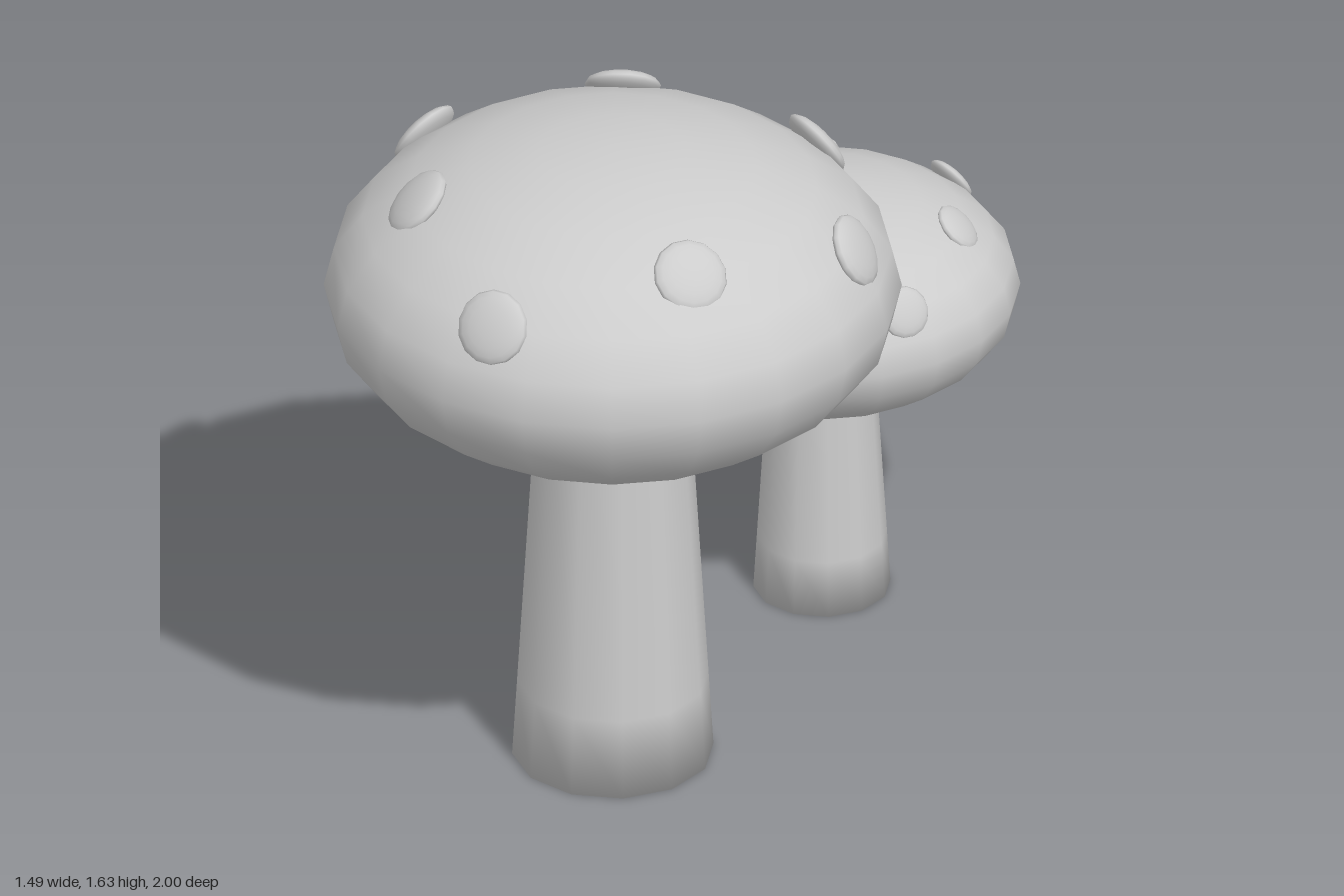
import * as THREE from 'three';

const STEP = (Math.PI * 2) / 7;

function makeMushroom(name, o, mat) {
  const g = new THREE.Group();
  g.name = name;
  g.position.set(o.x, 0, o.z);

  // Tapered stem with a softly shaded foot, running up into the cap
  const slope = (o.footR - o.neckR) / o.neckY;
  const at = (y) => new THREE.Vector2(o.footR - slope * y, y);
  const stem = new THREE.Mesh(
    new THREE.LatheGeometry([new THREE.Vector2(0, 0), at(0), at(o.footH), at(o.neckY + 0.08)], 12), mat);
  stem.name = 'stem';
  g.add(stem);

  // Flattened round cap
  const capGeo = new THREE.SphereGeometry(1, 20, 12);
  capGeo.scale(o.capR, o.capH, o.capR);
  const cap = new THREE.Mesh(capGeo, mat);
  cap.name = 'cap';
  cap.position.y = o.capY;
  g.add(cap);

  // Ring of seven lens-shaped spots at alternating heights
  const spotGeo = new THREE.SphereGeometry(1, 14, 10);
  spotGeo.scale(o.spotR, o.spotR * 0.3, o.spotR);
  const up = new THREE.Vector3(0, 1, 0);
  o.rings.forEach((r, i) => {
    const a = o.start + i * STEP;
    const k = r / o.capR;
    const dir = new THREE.Vector3(Math.cos(a) * k, Math.sqrt(1 - k * k), Math.sin(a) * k);
    const spot = new THREE.Mesh(spotGeo, mat);
    spot.name = 'spot';
    spot.position.set(dir.x * o.capR, o.capY + dir.y * o.capH, dir.z * o.capR);
    spot.quaternion.setFromUnitVectors(up, dir);
    g.add(spot);
  });
  return g;
}

export function createModel() {
  const group = new THREE.Group();
  group.name = 'mushrooms';
  const grey = new THREE.MeshStandardMaterial({ color: 0xcccccc });
  grey.name = 'light grey';

  group.add(makeMushroom('largeMushroom', {
    x: 0.062, z: 0.32, footR: 0.238, neckR: 0.185, neckY: 0.9, footH: 0.2,
    capR: 0.68, capH: 0.375, capY: 1.26, spotR: 0.09, start: -Math.PI / 2,
    rings: [0.592, 0.592, 0.467, 0.592, 0.467, 0.59, 0.49],
  }, grey));

  group.add(makeMushroom('smallMushroom', {
    x: -0.28, z: -0.533, footR: 0.162, neckR: 0.128, neckY: 0.57, footH: 0.14,
    capR: 0.467, capH: 0.255, capY: 0.815, spotR: 0.062, start: -1.67,
    rings: [0.406, 0.325, 0.406, 0.325, 0.404, 0.322, 0.406],
  }, grey));

  return group;
}
